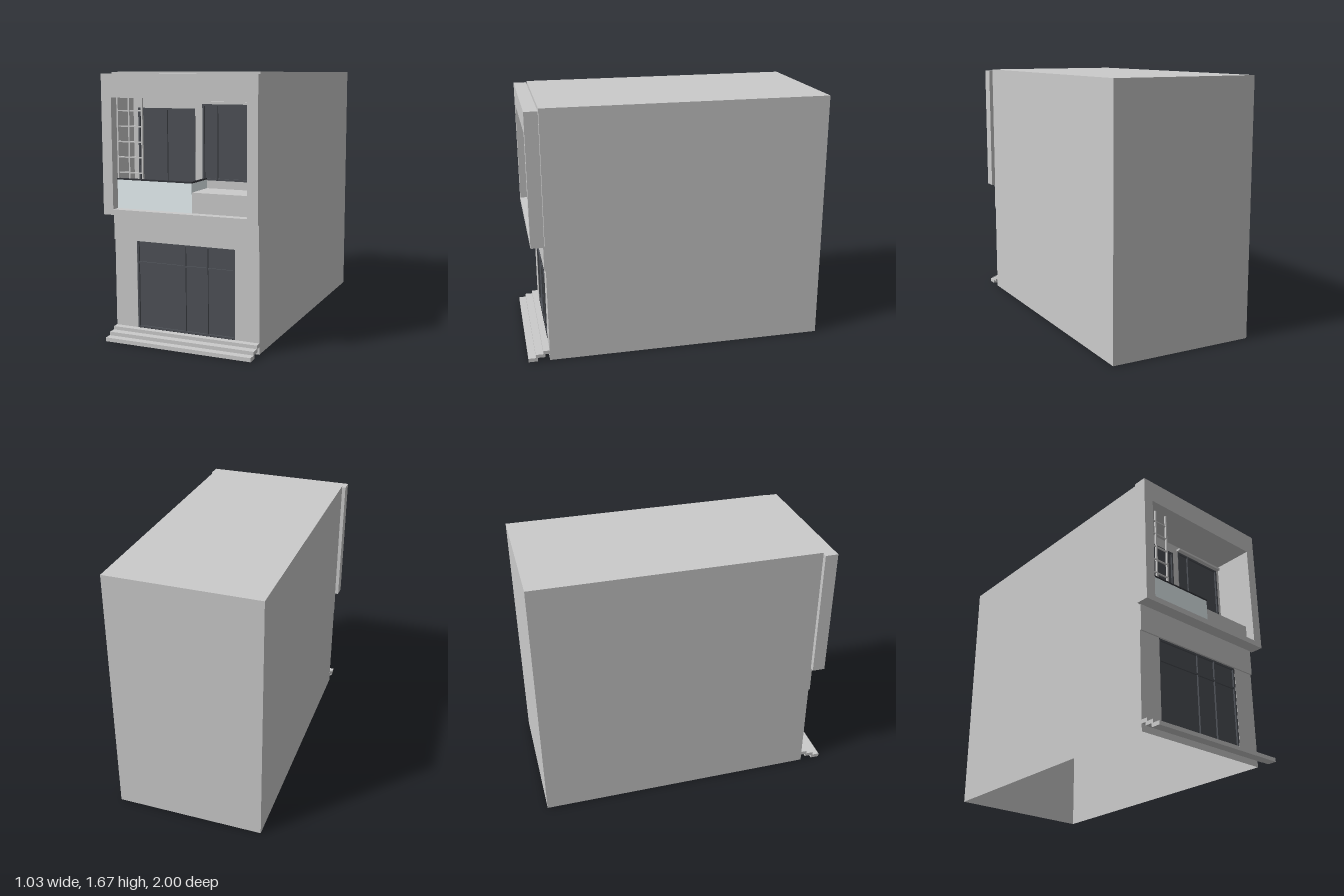
import * as THREE from 'three';

const grey = new THREE.MeshStandardMaterial({ color: 0xcccccc, side: THREE.DoubleSide });
const dark = new THREE.MeshStandardMaterial({ color: 0x4e5157, side: THREE.DoubleSide });
const black = new THREE.MeshStandardMaterial({ color: 0x34363b });
const pale = new THREE.MeshStandardMaterial({ color: 0xeaf4f7, side: THREE.DoubleSide });

export function createModel() {
  const root = new THREE.Group();

  const add = (parent, name, geometry, material) => {
    const mesh = new THREE.Mesh(geometry, material);
    mesh.name = name;
    parent.add(mesh);
    return mesh;
  };

  // Box given by its minimum and maximum on each axis
  const box = (name, x0, x1, y0, y1, z0, z1, material = grey, parent = root) => {
    const mesh = add(parent, name, new THREE.BoxGeometry(x1 - x0, y1 - y0, z1 - z0), material);
    mesh.position.set((x0 + x1) / 2, (y0 + y1) / 2, (z0 + z1) / 2);
    return mesh;
  };

  // Upright panel facing +z with rectangular holes, each [x0, x1, y0, y1]
  const outline = (P, [x0, x1, y0, y1]) => {
    const p = new P();
    p.moveTo(x0, y0);
    p.lineTo(x1, y0);
    p.lineTo(x1, y1);
    p.lineTo(x0, y1);
    p.closePath();
    return p;
  };
  const panel = (name, rect, holes, z, depth) => {
    const shape = outline(THREE.Shape, rect);
    shape.holes = holes.map((h) => outline(THREE.Path, h));
    const geometry = depth
      ? new THREE.ExtrudeGeometry(shape, { depth, bevelEnabled: false })
      : new THREE.ShapeGeometry(shape);
    add(root, name, geometry, grey).position.z = z;
  };

  // Thin sheet, w by h, turned and placed
  const sheet = (name, w, h, rx, ry, x, y, z) => {
    const mesh = add(root, name, new THREE.PlaneGeometry(w, h), grey);
    mesh.rotation.set(rx, ry, 0);
    mesh.position.set(x, y, z);
  };

  // Glazing: pane, surrounding frame and bars
  const glazing = (name, [x0, x1, y0, y1], z, uprights, transoms) => {
    const g = new THREE.Group();
    g.name = name;
    root.add(g);
    const t = 0.012;
    box('pane', x0, x1, y0, y1, z - 0.016, z - 0.012, dark, g);
    for (const x of [x0, x1 - t, ...uprights])
      box('upright', x, x + t, y0, y1, z - 0.024, z, dark, g);
    for (const y of [y0, y1 - t, ...transoms])
      box('rail', x0, x1, y, y + t, z - 0.024, z - 0.001, dark, g);
  };

  const W = 0.49, H = 1.675, F = 0.86, B = -1, R = 0.68;
  const doorway = [-0.335, 0.332, 0.07, 0.63];
  const recess = [-0.445, 0.445, 0.835, 1.52];
  const balconyDoor = [-0.41, -0.01, 0.84, 1.45];
  const upperWindow = [0.04, 0.42, 1.01, 1.48];

  // Hollow building shell, open underneath
  for (const s of [-1, 1])
    sheet('sideWall', F - B, H, 0, s * Math.PI / 2, s * W, H / 2, (F + B) / 2);
  sheet('backWall', 2 * W, H, 0, Math.PI, 0, H / 2, B);
  sheet('roof', 2 * W, F - B, -Math.PI / 2, 0, 0, H, (F + B) / 2);
  panel('frontWall', [-W, W, 0, H], [doorway, recess], F, 0);
  box('lintelBand', -W, W, 0.63, 0.8, F - 0.02, 0.87);

  // Projecting frame around the balcony
  panel('balconyFrame', [-0.513, 0.513, 0.8, 1.663], [recess], 0.865, 0.085);

  // Balcony recess
  const depth = 0.87 - R, midZ = (0.87 + R) / 2, midY = (0.835 + 1.52) / 2;
  sheet('balconyFloor', 0.89, depth, -Math.PI / 2, 0, 0, 0.835, midZ);
  sheet('balconyCeiling', 0.89, depth, Math.PI / 2, 0, 0, 1.52, midZ);
  for (const s of [-1, 1])
    sheet('balconySide', depth, 0.685, 0, -s * Math.PI / 2, s * 0.445, midY, midZ);
  panel('balconyBackWall', recess, [balconyDoor, upperWindow], R, 0);
  glazing('balconyDoor', balconyDoor, R + 0.004, [-0.216], []);
  glazing('upperWindow', upperWindow, R + 0.004, [0.13], []);
  box('windowHood', 0.03, 0.43, 1.48, 1.495, R, R + 0.03);

  // Planter beside the balcony railing
  box('planter', 0.066, 0.445, 0.835, 0.96, R, 0.89);

  // Glass railing with a dark handrail, returning to the wall
  box('railingGlass', -0.445, 0.066, 0.835, 1.015, 0.885, 0.893, pale);
  box('railingReturn', 0.058, 0.066, 0.835, 1.015, R, 0.885, pale);
  box('handrail', -0.445, 0.068, 1.015, 1.024, 0.881, 0.897, black);
  box('handrailReturn', 0.056, 0.068, 1.015, 1.024, R, 0.881, black);

  // Open lattice above the railing
  const lattice = new THREE.Group();
  lattice.name = 'lattice';
  root.add(lattice);
  for (const x of [-0.44, -0.36, -0.27])
    box('latticePost', x - 0.005, x + 0.005, 1.01, 1.52, 0.876, 0.889, grey, lattice);
  for (let i = 0; i < 5; i++) {
    const y = 1.06 + i * 0.095;
    box('latticeRung', -0.44, -0.27, y - 0.004, y + 0.004, 0.878, 0.887, grey, lattice);
  }

  // Entrance glazing with a plain inner lining
  glazing('entrance', doorway, F - 0.002, [-0.01, 0.14], [0.485]);
  box('entranceLining', -0.32, 0.317, 0.085, 0.615, F - 0.023, F - 0.019);

  // Entrance steps, thin overlapping treads
  const treads = [[0, 0.025, 0.94, 1], [0.025, 0.048, 0.89, 0.952], [0.046, 0.07, F, 0.902]];
  for (const [y0, y1, z0, z1] of treads) box('step', -W, W, y0, y1, z0, z1);

  return root;
}
